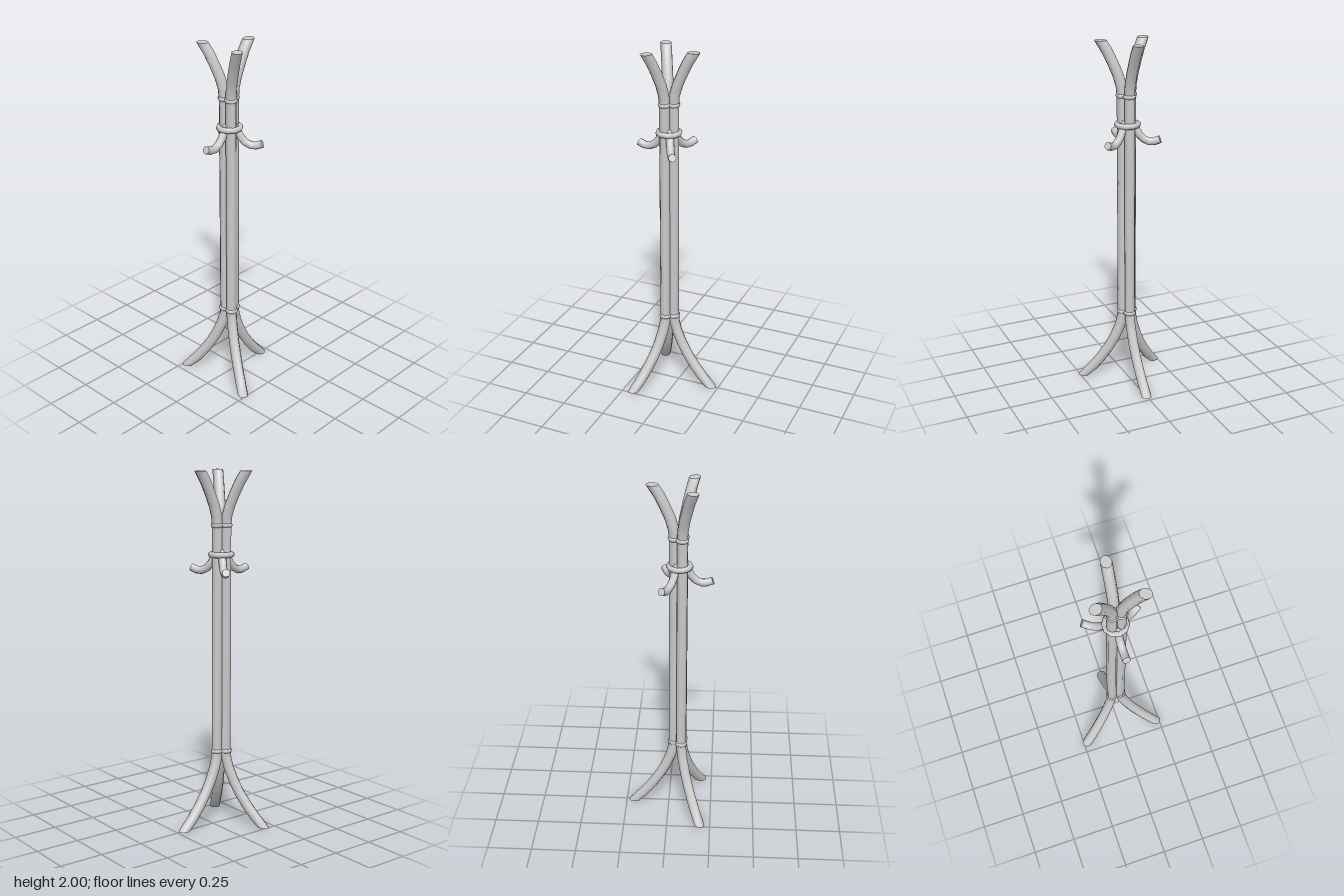
import * as THREE from 'three';
import { mergeVertices } from 'three/addons/utils/BufferGeometryUtils.js';

const material = new THREE.MeshStandardMaterial({ color: 0xcccccc });
const SIDES = 8;

// Sweeps an eight-sided rod along [radius, height] points; flatEnds cuts both ends level.
function rod(points, radius, flatEnds) {
  const pos = [], index = [], last = points.length - 1;
  const ring = (i) => {
    const [x, y] = points[i];
    const a = points[Math.max(i - 1, 0)], b = points[Math.min(i + 1, last)];
    const t = new THREE.Vector2(b[0] - a[0], b[1] - a[1]).normalize();
    const level = flatEnds && (i === 0 || i === last);
    const nx = level ? 1.15 : t.y, ny = level ? 0 : -t.x;
    for (let s = 0; s < SIDES; s++) {
      const c = radius * Math.cos((s / SIDES) * Math.PI * 2);
      pos.push(x + nx * c, y + ny * c, radius * Math.sin((s / SIDES) * Math.PI * 2));
    }
  };
  for (let i = 0; i <= last; i++) ring(i);
  for (let i = 0; i < last; i++) {
    for (let s = 0; s < SIDES; s++) {
      const a = i * SIDES + s, b = i * SIDES + ((s + 1) % SIDES);
      index.push(a, a + SIDES, b, b, a + SIDES, b + SIDES);
    }
  }
  // end caps with their own vertices, so the rims stay sharp
  for (const end of [0, last]) {
    const start = pos.length / 3;
    ring(end);
    pos.push(points[end][0], points[end][1], 0);
    for (let s = 0; s < SIDES; s++) {
      const a = start + s, b = start + ((s + 1) % SIDES);
      if (end === 0) index.push(start + SIDES, a, b);
      else index.push(start + SIDES, b, a);
    }
  }
  const geometry = new THREE.BufferGeometry();
  geometry.setAttribute('position', new THREE.Float32BufferAttribute(pos, 3));
  geometry.setIndex(index);
  geometry.computeVertexNormals();
  return geometry;
}

// Horizontal ring with smooth normals.
function hoop(major, minor, segments) {
  const geometry = new THREE.TorusGeometry(major, minor, 8, segments);
  geometry.rotateX(Math.PI / 2);
  return mergeVertices(geometry);
}

function add(parent, name, geometry, x = 0, y = 0) {
  const mesh = new THREE.Mesh(geometry, material);
  mesh.name = name;
  mesh.position.set(x, y, 0);
  parent.add(mesh);
}

export function createModel() {
  const model = new THREE.Group();
  model.name = 'coatStand';
  const stand = new THREE.Group();
  stand.name = 'stand';
  stand.position.x = -0.058;
  model.add(stand);

  // pole: splayed foot, straight shaft, flared top
  const D = 0.028;
  const pole = rod([
    [0.261, 0], [0.205, 0.06], [0.158, 0.12], [0.115, 0.185], [0.08, 0.25], [0.047, 0.33],
    [0.032, 0.39], [D, 0.44], [D, 1.7], [0.034, 1.76], [0.052, 1.82], [0.08, 1.885],
    [0.109, 1.945], [0.143, 2],
  ], 0.03, true);
  const collar = hoop(0.023, 0.0135, 10);

  // hook: drops from the ring and turns up at the tip
  const hook = rod([
    [0.02, 1.56], [0.042, 1.53], [0.06, 1.495], [0.085, 1.467], [0.117, 1.452],
    [0.145, 1.453], [0.178, 1.466],
  ], 0.022, false);

  for (let i = 0; i < 3; i++) {
    const arm = new THREE.Group();
    arm.name = 'poleAssembly';
    arm.rotation.y = (i * Math.PI * 2) / 3;
    add(arm, 'pole', pole);
    add(arm, 'lowerCollar', collar, D, 0.43);
    add(arm, 'upperCollar', collar, D, 1.705);
    stand.add(arm);

    const hookArm = new THREE.Group();
    hookArm.name = 'hookAssembly';
    hookArm.rotation.y = Math.PI + arm.rotation.y;
    add(hookArm, 'hook', hook);
    stand.add(hookArm);
  }

  // ring that binds the hooks to the poles
  add(stand, 'hookRing', hoop(0.058, 0.016, 10), 0, 1.545);
  return model;
}
